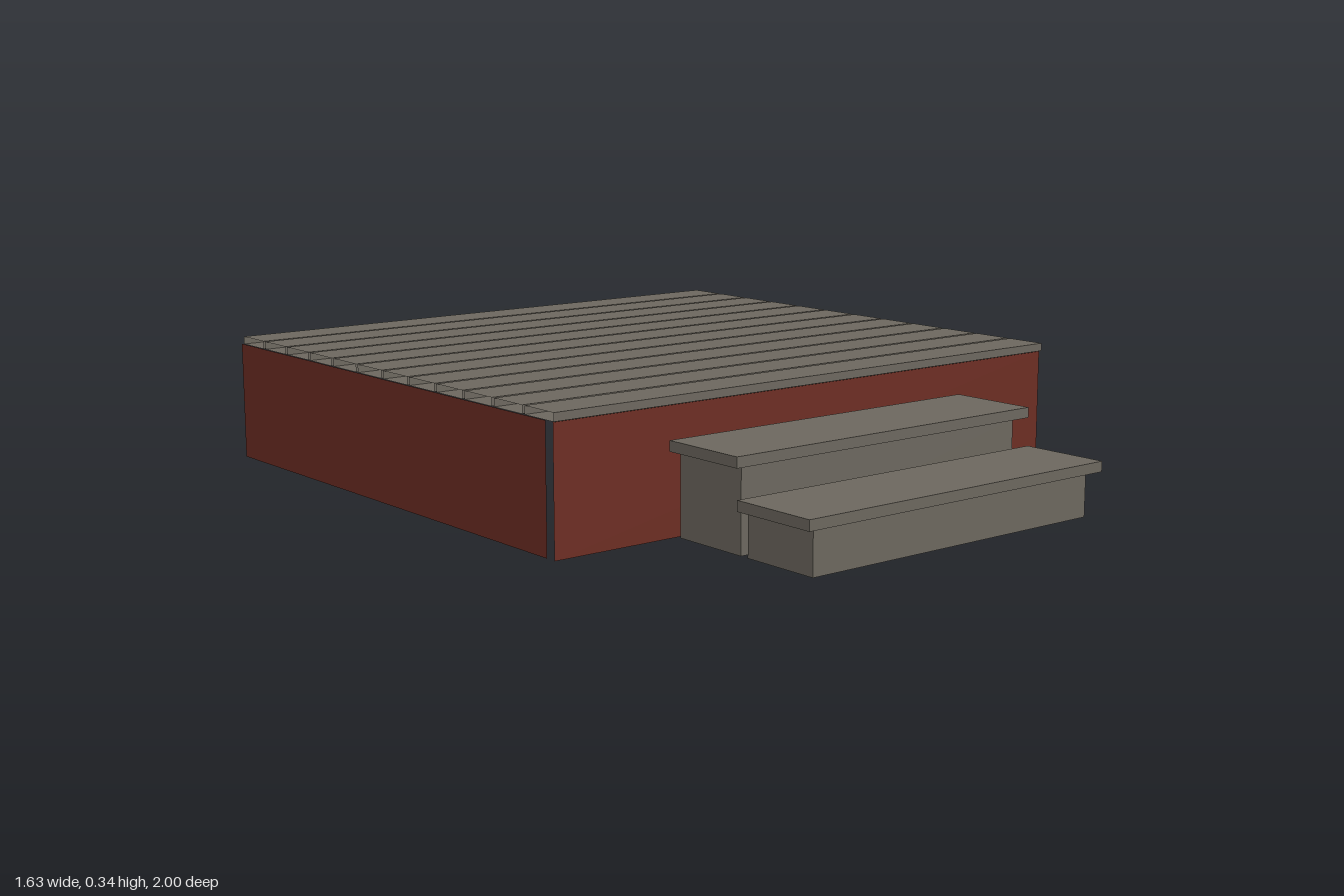
import * as THREE from 'three';

const mat = (name, color) => {
  const m = new THREE.MeshStandardMaterial({ color, side: THREE.DoubleSide });
  m.name = name;
  return m;
};

export function createModel() {
  const wood = mat('weathered wood', 0x6c675e);
  const red = mat('barn red', 0x6c2d23);
  const dark = mat('dark underlay', 0x40362c);
  const group = new THREE.Group();
  group.name = 'deck';

  const add = (name, geometry, material, x, y, z, ry = 0, rx = 0) => {
    const mesh = new THREE.Mesh(geometry, material);
    mesh.name = name;
    mesh.position.set(x, y, z);
    mesh.rotation.set(rx, ry, 0);
    group.add(mesh);
    return mesh;
  };
  const plane = (w, h) => new THREE.PlaneGeometry(w, h);

  // skirting panels: front and two sides, open at the back
  const wallH = 0.322;
  add('frontSkirt', plane(1.626, wallH), red, 0, wallH / 2, 0.5);
  add('leftSkirt', plane(1.47, wallH), red, 0.812, wallH / 2, -0.235, Math.PI / 2);
  add('rightSkirt', plane(1.47, wallH), red, -0.812, wallH / 2, -0.265, -Math.PI / 2);

  // dark sheet under the boards
  add('underlay', plane(1.604, 1.5), dark, 0, 0.321, -0.25, 0, -Math.PI / 2);

  // deck boards, hollow at the ends
  const pitch = 0.1247;
  const board = new THREE.BoxGeometry(1.63, 0.021, pitch - 0.01);
  board.setIndex(Array.from(board.index.array).slice(12));
  board.clearGroups();
  for (let i = 0; i < 12; i++) {
    add('deckBoard', board, wood, 0, 0.3345, 0.449 - i * pitch);
  }

  // steps: solid tread over a riser and two sides, open at the back
  const step = (name, top, zBack, zFront, treadFront) => {
    const thick = 0.027, h = top - thick, depth = zFront - zBack;
    add(name + 'Tread', new THREE.BoxGeometry(0.975, thick, treadFront - zBack), wood,
      0, top - thick / 2, (treadFront + zBack) / 2);
    add(name + 'Riser', plane(0.91, h), wood, 0, h / 2, zFront);
    for (const s of [1, -1]) {
      add(name + 'Side', plane(depth, h), wood, s * 0.455, h / 2, (zFront + zBack) / 2, s * Math.PI / 2);
    }
  };
  step('upperStep', 0.241, 0.512, 0.733, 0.756);
  step('lowerStep', 0.141, 0.757, 0.977, 1);

  return group;
}
